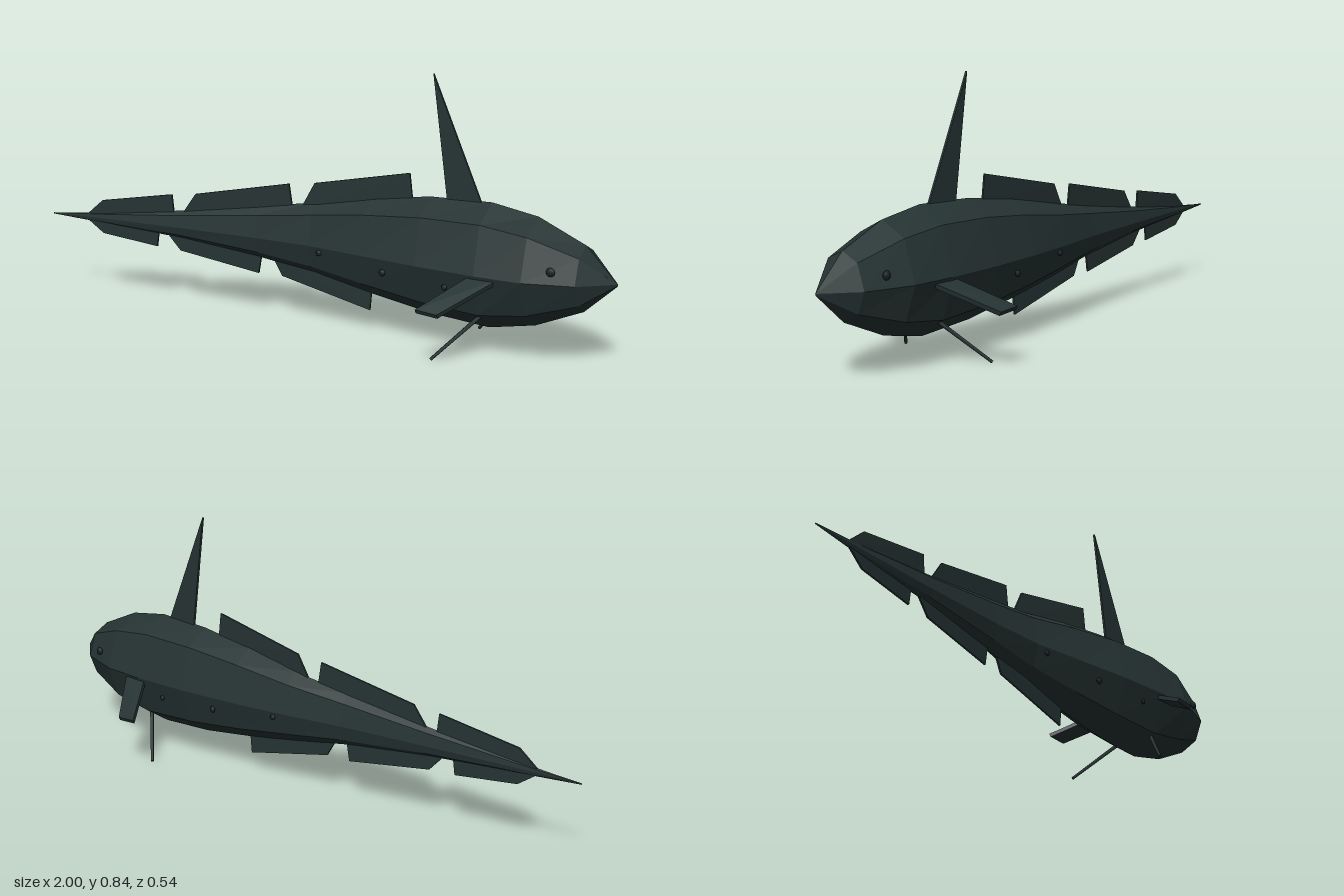
import * as THREE from 'three';
import { ConvexGeometry } from 'three/addons/geometries/ConvexGeometry.js';

// Body stations: x, top y, bottom y, half width, sideways offset of the spine
const STATIONS = [
  [-1, 0.266, 0.264, 0.001, 0.115],
  [-0.8, 0.286, 0.25, 0.008, 0.092],
  [-0.5, 0.322, 0.229, 0.022, 0.06],
  [-0.2, 0.366, 0.194, 0.04, 0.028],
  [0, 0.398, 0.16, 0.062, 0.006],
  [0.2, 0.435, 0.122, 0.092, 0.001],
  [0.4, 0.461, 0.09, 0.117, 0],
  [0.6, 0.466, 0.075, 0.131, 0],
  [0.75, 0.44, 0.105, 0.13, 0],
  [0.9, 0.372, 0.17, 0.086, 0],
  [1, 0.267, 0.263, 0.001, 0],
];
const MID_Y = 0.268;

// Sideways offset of the curved spine at any x
function spineZ(x) {
  for (let i = 1; i < STATIONS.length; i++) {
    const a = STATIONS[i - 1], b = STATIONS[i];
    if (x <= b[0]) return THREE.MathUtils.lerp(a[4], b[4], (x - a[0]) / (b[0] - a[0]));
  }
  return 0;
}

// Eight-sided cross-section joined along the body
function bodyGeometry() {
  const ring = [[1, 0], [0.74, 0.69], [0, 1], [-0.68, 0.69], [-1, 0], [-0.68, -0.69], [0, -1], [0.74, -0.69]];
  const pos = [], idx = [], n = ring.length;
  for (const [x, top, bottom, half, z] of STATIONS) {
    for (const [v, w] of ring) {
      const y = MID_Y + (v > 0 ? v * (top - MID_Y) : -v * (bottom - MID_Y));
      pos.push(x, y, z + w * half);
    }
  }
  for (let s = 0; s < STATIONS.length - 1; s++) {
    for (let i = 0; i < n; i++) {
      const a = s * n + i, b = s * n + (i + 1) % n;
      idx.push(a, b, a + n, b, b + n, a + n);
    }
  }
  const indexed = new THREE.BufferGeometry();
  indexed.setAttribute('position', new THREE.Float32BufferAttribute(pos, 3));
  indexed.setIndex(idx);
  const flat = indexed.toNonIndexed();
  flat.computeVertexNormals();
  return flat;
}

// Thin slab with the given corners, thickened along a normal
function slab(corners, normal, thickness) {
  const offset = normal.clone().normalize().multiplyScalar(thickness / 2);
  return new ConvexGeometry(corners.flatMap((c) => [c.clone().add(offset), c.clone().sub(offset)]));
}

export function createModel() {
  const skin = new THREE.MeshStandardMaterial({ color: 0x263333 });
  skin.name = 'dark skin';
  const spotColour = new THREE.MeshStandardMaterial({ color: 0x1a2424 });
  spotColour.name = 'eye and spot';

  const model = new THREE.Group();
  model.name = 'fish';
  const add = (name, geometry, material = skin) => {
    const mesh = new THREE.Mesh(geometry, material);
    mesh.name = name;
    model.add(mesh);
    return mesh;
  };

  add('body', bodyGeometry());

  // Fins along the back and belly follow the curve of the spine
  const medianFin = (name, outline, thickness = 0.006) =>
    add(name, slab(outline.map(([x, y]) => new THREE.Vector3(x, y, spineZ(x))), new THREE.Vector3(0, 0, 1), thickness));

  medianFin('tallDorsalFin', [[0.455, 0.44], [0.575, 0.44], [0.4, 0.84]], 0.008);
  const backFins = [
    [[-0.06, 0.37], [-0.01, 0.46], [0.325, 0.527], [0.337, 0.43]],
    [[-0.49, 0.315], [-0.44, 0.385], [-0.1, 0.45], [-0.088, 0.37]],
    [[-0.865, 0.274], [-0.8, 0.33], [-0.53, 0.375], [-0.523, 0.31]],
  ];
  const bellyFins = [
    [[-0.17, 0.22], [-0.125, 0.14], [0.19, 0.067], [0.197, 0.15]],
    [[-0.55, 0.24], [-0.5, 0.185], [-0.21, 0.14], [-0.198, 0.21]],
    [[-0.865, 0.262], [-0.8, 0.215], [-0.59, 0.19], [-0.583, 0.24]],
  ];
  backFins.forEach((f, i) => medianFin('backFin' + (i + 1), f));
  bellyFins.forEach((f, i) => medianFin('bellyFin' + (i + 1), f));

  for (const side of [1, -1]) {
    const label = side > 0 ? 'Left' : 'Right';
    const P = (x, y, z) => new THREE.Vector3(x, y, z * side);

    // Swept pectoral paddle
    const paddle = [P(0.68, 0.262, 0.105), P(0.59, 0.262, 0.105), P(0.48, 0.178, 0.266), P(0.55, 0.172, 0.266)];
    const normal = paddle[1].clone().sub(paddle[0]).cross(paddle[2].clone().sub(paddle[0]));
    add('pectoralFin' + label, slab(paddle, normal, 0.014));

    // Slender lower fin
    const root = P(0.61, 0.14, 0.062), tip = P(0.49, 0.006, 0.179);
    const rod = add('lowerFin' + label, new THREE.CylinderGeometry(0.005, 0.007, root.distanceTo(tip), 6));
    rod.position.copy(root).add(tip).multiplyScalar(0.5);
    rod.quaternion.setFromUnitVectors(new THREE.Vector3(0, 1, 0), tip.clone().sub(root).normalize());

    // Eye and row of small side spots: x, y, z, radius
    const dots = [
      ['eye', 0.83, 0.305, 0.1, 0.014],
      ['spot1', 0.5, 0.215, 0.114, 0.009],
      ['spot2', 0.28, 0.225, 0.095, 0.011],
      ['spot3', 0.04, 0.25, 0.066, 0.01],
    ];
    for (const [name, x, y, z, r] of dots) {
      const dot = add(name + label, new THREE.SphereGeometry(r, 8, 6), spotColour);
      dot.scale.z = 0.6;
      dot.position.set(x, y, z * side + spineZ(x));
    }
  }
  return model;
}
